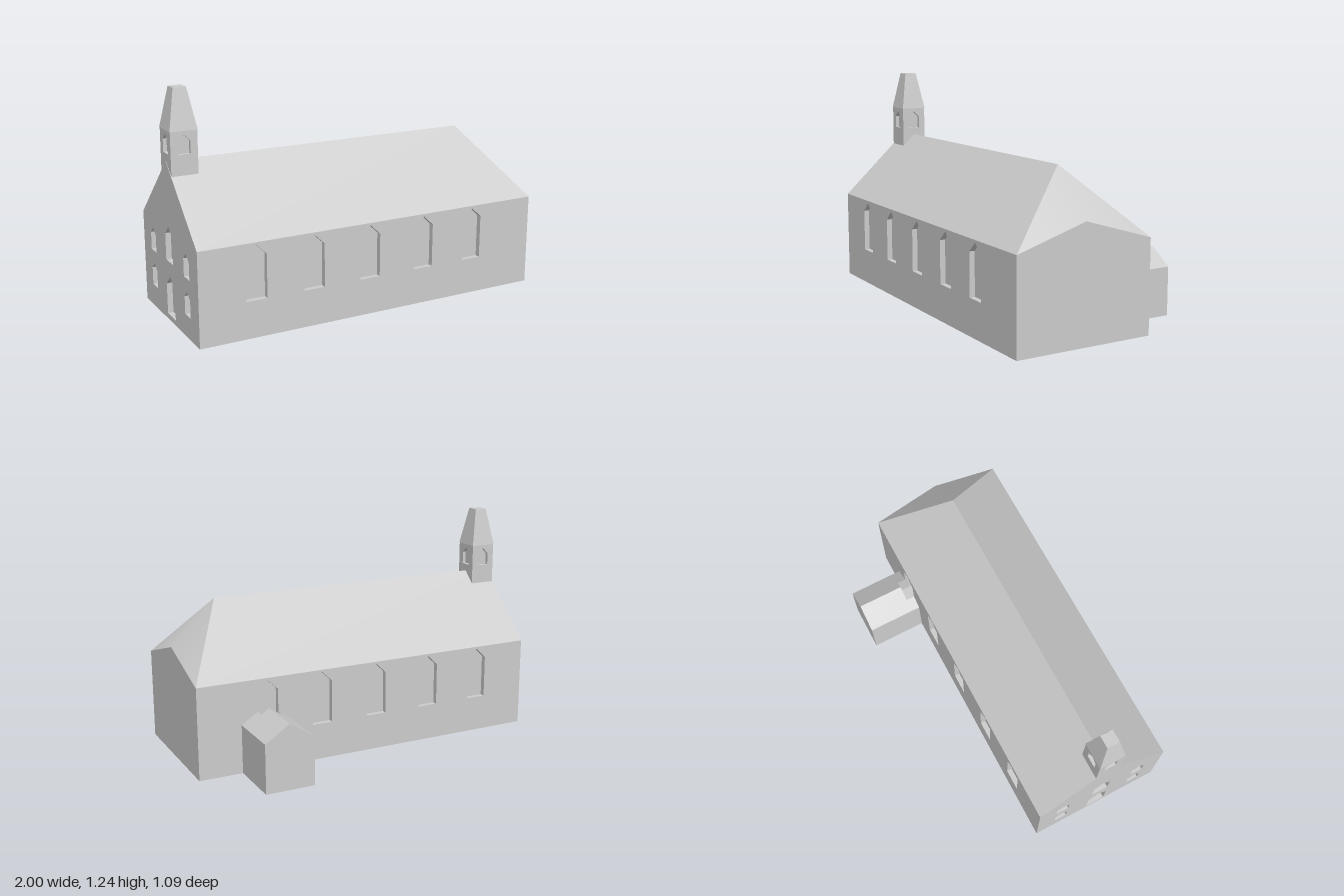
import * as THREE from 'three';

const stone = new THREE.MeshStandardMaterial({ color: 0xcccccc });
stone.name = 'pale stone';

const FRONT = 0.546, BACK = -0.23, RIDGE = 0.158; // z of the nave walls and ridge
const EAVES = 0.503, TOP = 0.865, HIP_X = 0.75, HIP_Y = 0.622;

function mesh(name, geometry) {
  const m = new THREE.Mesh(geometry, stone);
  m.name = name;
  return m;
}

const shapeOf = (pts) => new THREE.Shape(pts.map(([x, y]) => new THREE.Vector2(x, y)));

// Opening with a pointed head: centre x, sill, apex, width
function arch([x, sill, apex, width]) {
  const h = width / 2, spring = apex - h * 0.95;
  return [[x - h, sill], [x + h, sill], [x + h, spring], [x, apex], [x - h, spring]];
}

// Wall whose outer face is local z = 0, with recessed openings
function wall(name, outline, openings, depth) {
  const g = new THREE.Group();
  g.name = name;
  const shape = shapeOf(outline);
  for (const o of openings) shape.holes.push(shapeOf(arch(o)));
  const solid = new THREE.ExtrudeGeometry(shape, { depth, bevelEnabled: false });
  g.add(mesh(name + 'Face', solid.translate(0, 0, -depth)));
  for (const o of openings) {
    g.add(mesh('windowRecess', new THREE.ShapeGeometry(shapeOf(arch(o))).translate(0, 0, -depth)));
  }
  return g;
}

// Faces from corner points; shared corners give smooth normals
function faces(name, pts, index, smooth = false) {
  let geo = new THREE.BufferGeometry();
  geo.setAttribute('position', new THREE.Float32BufferAttribute(pts.flat(), 3));
  geo.setIndex(index);
  if (!smooth) geo = geo.toNonIndexed();
  geo.computeVertexNormals();
  return mesh(name, geo);
}

function buildNave() {
  const nave = new THREE.Group();
  nave.name = 'nave';
  const windows = [-0.69, -0.365, -0.035, 0.295, 0.61].map((x) => [x, 0.2, 0.49, 0.116]);
  const side = [[-1, 0], [1, 0], [1, EAVES], [-1, EAVES]];

  const front = wall('frontWall', side, windows, 0.03);
  front.position.z = FRONT;
  const back = wall('backWall', side, windows.map(([x, ...r]) => [-x, ...r]), 0.03);
  back.position.z = BACK;
  back.rotation.y = Math.PI;

  // Entrance gable with door and two rows of windows
  const openings = [[RIDGE, 0.03, 0.25, 0.115], [RIDGE, 0.33, 0.52, 0.1]];
  for (const z of [RIDGE - 0.238, RIDGE + 0.238]) {
    openings.push([z, 0.12, 0.25, 0.075], [z, 0.32, 0.45, 0.075]);
  }
  const gable = wall('entranceGable',
    [[BACK, 0], [FRONT, 0], [FRONT, EAVES], [RIDGE, TOP], [BACK, EAVES]], openings, 0.03);
  gable.position.x = -1;
  gable.rotation.y = -Math.PI / 2;

  const end = wall('endWall',
    [[-FRONT, 0], [-BACK, 0], [-BACK, EAVES], [-RIDGE, HIP_Y], [-FRONT, EAVES]], [], 0.03);
  end.position.x = 1;
  end.rotation.y = Math.PI / 2;

  const floor = mesh('floor', new THREE.PlaneGeometry(2, FRONT - BACK).rotateX(Math.PI / 2));
  floor.position.z = (FRONT + BACK) / 2;
  nave.add(front, back, gable, end, floor);

  // Roof slopes and the clipped hip
  const quad = [0, 1, 2, 0, 2, 3];
  const ridgeEnd = [HIP_X, TOP, RIDGE], ridgeStart = [-1, TOP, RIDGE];
  nave.add(
    faces('frontRoof', [[-1, EAVES, FRONT], [1, EAVES, FRONT], ridgeEnd, ridgeStart], quad),
    faces('backRoof', [[1, EAVES, BACK], [-1, EAVES, BACK], ridgeStart, ridgeEnd], quad),
    faces('hipRoof', [ridgeEnd, [1, EAVES, FRONT], [1, HIP_Y, RIDGE], [1, EAVES, BACK]],
      [0, 1, 2, 0, 2, 3], true));
  return nave;
}

function buildTower() {
  const tower = new THREE.Group();
  tower.name = 'bellTower';
  const h = 0.072;
  const outline = [[-h, 0.798], [h, 0.798], [h, 1.025], [-h, 1.025]];
  for (let i = 0; i < 4; i++) {
    const turn = new THREE.Group();
    turn.name = 'towerSide';
    const w = wall('towerWall', outline, [[0, 0.905, 1.005, 0.068]], 0.02);
    w.position.z = h;
    turn.add(w);
    turn.rotation.y = i * Math.PI / 2;
    tower.add(turn);
  }
  // Truncated four-sided spire
  const spire = new THREE.CylinderGeometry(0.035 * Math.SQRT2, 0.074 * Math.SQRT2, 0.212, 4)
    .rotateY(Math.PI / 4).toNonIndexed();
  spire.computeVertexNormals();
  const cap = mesh('spire', spire);
  cap.position.y = 1.131;
  tower.add(cap);
  tower.position.set(-0.926, 0, RIDGE);
  return tower;
}

function buildAnnex() {
  const annex = new THREE.Group();
  annex.name = 'annex';
  const x0 = 0.49, x1 = 0.76, mid = 0.625, eaves = 0.267, top = 0.355;
  const roofAt = (x) => top - Math.abs(x - mid) * (top - eaves) / (mid - x0);
  const s0 = 0.552, s1 = 0.668; // slot in front of the nave window
  const full = [[x0, 0], [x1, 0], [x1, eaves], [mid, top], [x0, eaves]];
  const slotted = [[x0, 0], [x1, 0], [x1, eaves], [s1, roofAt(s1)], [s1, 0.2],
    [s0, 0.2], [s0, roofAt(s0)], [x0, eaves]];
  const block = (name, pts, zMin, zMax) => mesh(name, new THREE.ExtrudeGeometry(
    shapeOf(pts), { depth: zMax - zMin, bevelEnabled: false }).translate(0, 0, zMin));
  annex.add(block('annexBody', full, -0.546, -0.28), block('annexJoint', slotted, -0.28, BACK));
  return annex;
}

export function createModel() {
  const model = new THREE.Group();
  model.name = 'chapel';
  model.add(buildNave(), buildTower(), buildAnnex());
  return model;
}
